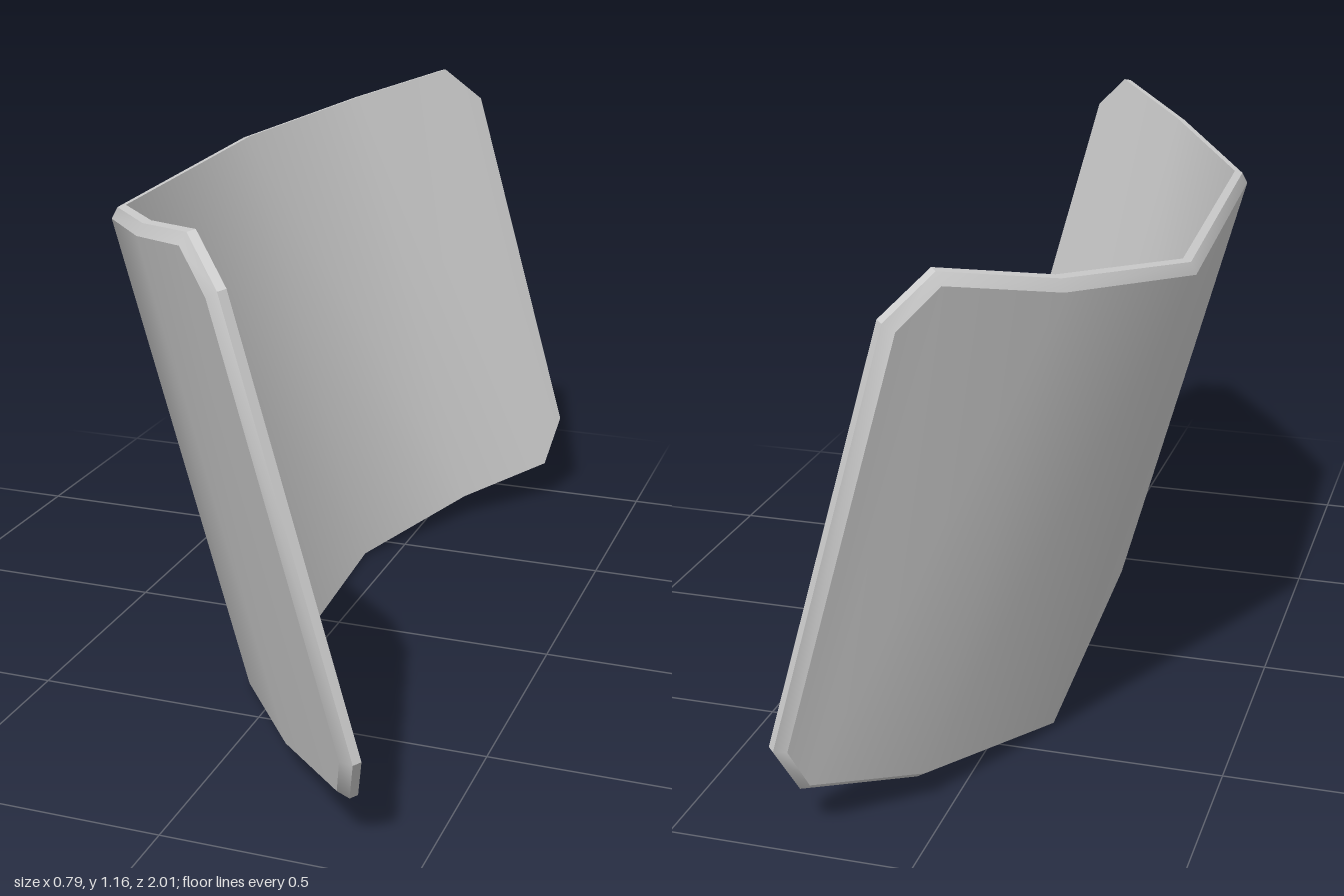
import * as THREE from 'three';
import { toCreasedNormals } from 'three/addons/utils/BufferGeometryUtils.js';

const BOTTOM = 0.025, TOP = 1.12;   // panel height range
const THICK = 0.035, BEVEL = 0.02, CORNER = 0.1;

// Inner curve of the panel seen from its end: [z, depth]
const CURVE = [
  [-0.985, 0.33], [-0.92, 0.277], [-0.735, 0.099], [-0.39, -0.069],
  [0.385, -0.026], [0.69, 0.182], [0.915, 0.38], [0.985, 0.44],
].map(([z, u]) => new THREE.Vector2(z, u));
const N = CURVE.length;

// Closed outline of one layer: offset outwards, shrunk by inset
function outline(offset, inset) {
  const bottom = [], top = [];
  CURVE.forEach((p, i) => {
    const before = p.clone().sub(CURVE[Math.max(i - 1, 0)]).normalize();
    const after = CURVE[Math.min(i + 1, N - 1)].clone().sub(p).normalize();
    const t = before.clone().add(after).normalize();
    const miter = offset / Math.max(t.dot(i < N - 1 ? after : before), 0.5);
    const end = i === 0 || i === N - 1;
    const nearEnd = i === 1 || i === N - 2;
    const slide = (end ? inset : nearEnd ? inset * 0.4 : 0) * (i < N / 2 ? 1 : -1);
    const z = p.x + t.y * miter + t.x * slide;
    const u = p.y - t.x * miter + t.y * slide;
    const trim = end ? CORNER + inset * 0.4 : inset;
    bottom.push(new THREE.Vector3(u, BOTTOM + trim, z));
    top.unshift(new THREE.Vector3(u, TOP - trim, z));
  });
  return [...bottom, ...top];
}

function panelGeometry() {
  const layers = [outline(0, 0), outline(THICK / 2, 0), outline(THICK, BEVEL)];
  const count = 2 * N;
  const index = [];
  const quad = (a, b, c, d) => index.push(a, b, c, a, c, d);

  // Rim and bevel
  for (let l = 0; l < 2; l++) {
    for (let k = 0; k < count; k++) {
      const n = (k + 1) % count, a = l * count, b = a + count;
      quad(a + k, a + n, b + n, b + k);
    }
  }
  // Hollow inner face and bulging outer face
  const o = 2 * count;
  for (let i = 0; i < N - 1; i++) {
    const j = count - 1 - i;
    quad(i, j, j - 1, i + 1);
    quad(o + i, o + i + 1, o + j - 1, o + j);
  }

  const geometry = new THREE.BufferGeometry().setFromPoints(layers.flat());
  geometry.setIndex(index);
  // Slight roll, then the backward lean
  geometry.rotateX(0.015);
  geometry.rotateZ(0.272);
  geometry.computeBoundingBox();
  const box = geometry.boundingBox, c = box.getCenter(new THREE.Vector3());
  geometry.translate(-c.x, -box.min.y, -c.z);
  return toCreasedNormals(geometry, 0.61);
}

export function createModel() {
  const group = new THREE.Group();
  group.name = 'curvedShield';
  const panel = new THREE.Mesh(
    panelGeometry(),
    new THREE.MeshStandardMaterial({ color: 0xcccccc }),
  );
  panel.name = 'shieldPanel';
  group.add(panel);
  return group;
}
